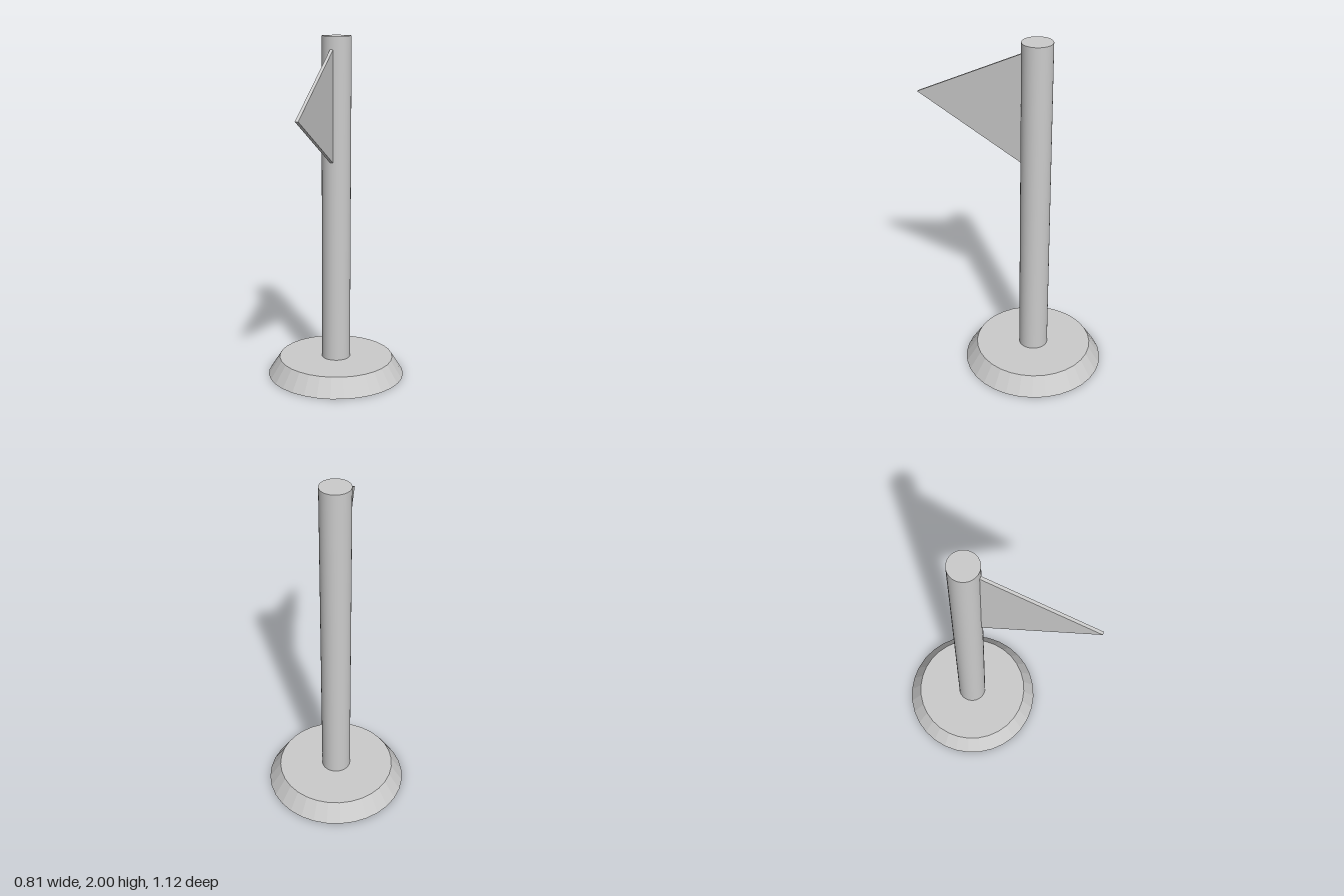
import * as THREE from 'three';

const AXIS_Z = -0.156; // the pole and base stand behind the centre

export function createModel() {
  const model = new THREE.Group();
  const smooth = new THREE.MeshStandardMaterial({ color: 0xcccccc });
  const faceted = new THREE.MeshStandardMaterial({ color: 0xcccccc, flatShading: true });

  const add = (name, geometry, material) => {
    const mesh = new THREE.Mesh(geometry, material);
    mesh.name = name;
    model.add(mesh);
    return mesh;
  };

  // Upright cylinder or frustum between two heights
  const post = (name, rTop, rBottom, y0, y1, sides, material) => {
    const mesh = add(name, new THREE.CylinderGeometry(rTop, rBottom, y1 - y0, sides), material);
    mesh.position.set(0, (y0 + y1) / 2, AXIS_Z);
  };

  // Tapered foot and round pole
  post('base', 0.338, 0.405, 0, 0.105, 32, faceted);
  post('pole', 0.084, 0.084, 0.1, 2, 48, smooth);

  // Thin triangular pennant pointing forward, its rear edge set into the pole
  const outline = new THREE.Shape([
    new THREE.Vector2(-0.076, 1.928),
    new THREE.Vector2(-0.076, 1.292),
    new THREE.Vector2(0.56, 1.61),
  ]);
  const pennant = new THREE.ExtrudeGeometry(outline, { depth: 0.018, bevelEnabled: false });
  pennant.rotateY(-Math.PI / 2).translate(0.004, 0, 0);
  add('flag', pennant, faceted);

  return model;
}
